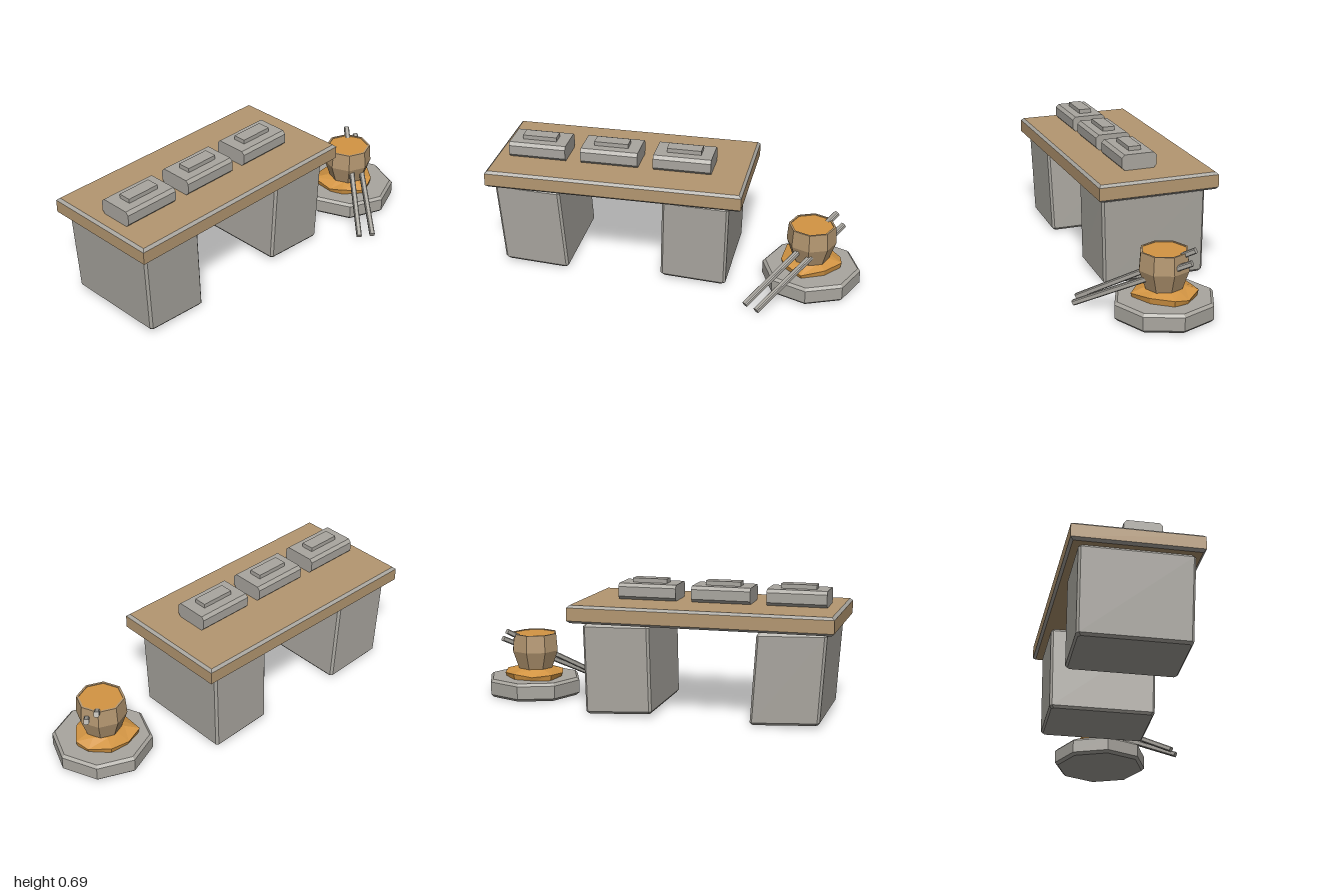
import * as THREE from 'three';

const mat = (name, color, extra = {}) =>
  Object.assign(new THREE.MeshStandardMaterial({ color, flatShading: true, ...extra }), { name });

// Faceted loft through horizontal loops (bottom to top), counter-clockwise from above
function loft(loops, capBottom = true, capTop = true) {
  const pos = [];
  const tri = (...p) => p.forEach((v) => pos.push(...v));
  for (let k = 0; k + 1 < loops.length; k++) {
    const lo = loops[k], up = loops[k + 1], n = lo.length;
    for (let i = 0; i < n; i++) {
      const j = (i + 1) % n;
      tri(lo[i], lo[j], up[j]);
      tri(lo[i], up[j], up[i]);
    }
  }
  const first = loops[0], last = loops[loops.length - 1];
  for (let i = 1; i + 1 < first.length; i++) {
    if (capBottom) tri(first[0], first[i + 1], first[i]);
    if (capTop) tri(last[0], last[i], last[i + 1]);
  }
  const g = new THREE.BufferGeometry();
  g.setAttribute('position', new THREE.Float32BufferAttribute(pos, 3));
  g.computeVertexNormals();
  return g;
}

const rect = (x0, x1, z0, z1, y) => [[x1, y, z1], [x1, y, z0], [x0, y, z0], [x0, y, z1]];

// Rectangle with cut corners
const cutRect = (x0, x1, z0, z1, y, c) => [
  [x1 - c, y, z1], [x1, y, z1 - c], [x1, y, z0 + c], [x1 - c, y, z0],
  [x0 + c, y, z0], [x0, y, z0 + c], [x0, y, z1 - c], [x0 + c, y, z1],
];

const octagon = (cx, cz, r, y) => Array.from({ length: 8 }, (_, i) => {
  const a = (i * Math.PI) / 4;
  return [cx + r * Math.cos(a), y, cz - r * Math.sin(a)];
});

export function createModel() {
  const stone = mat('stone', 0xa9a69f);
  const wood = mat('wood', 0xb49771);
  const orange = mat('orange', 0xd39543);
  const model = new THREE.Group();
  const add = (name, geometry, material, parent = model) => {
    const m = new THREE.Mesh(geometry, material);
    m.name = name;
    parent.add(m);
    return m;
  };

  // Table top: wooden slab with stone-coloured bevels
  const top = new THREE.Group();
  top.name = 'tableTop';
  model.add(top);
  const slab = (y, d) => rect(-1 + d, 0.38 - d, -0.43 + d, 0.23 - d, y);
  const low = slab(0.484, 0.014), lowEdge = slab(0.497, 0), highEdge = slab(0.565, 0), high = slab(0.578, 0.014);
  add('slabSides', loft([lowEdge, highEdge], false, false), wood, top);
  add('slabTop', loft([high], false, true), wood, top);
  add('slabUnderside', loft([low], true, false), wood, top);
  add('lowerBevel', loft([low, lowEdge], false, false), stone, top);
  add('upperBevel', loft([highEdge, high], false, false), stone, top);

  // Rough stone legs, leaning slightly, with tilted ends
  const leg = (name, bottomX, topX, frontBottom, frontTop, tiltBottom, tiltTop) => {
    const w = 0.355;
    const ring = (y, t, d, tilt) => {
      const x0 = THREE.MathUtils.lerp(bottomX, topX, t);
      const z1 = THREE.MathUtils.lerp(frontBottom, frontTop, t);
      return cutRect(x0 + d, x0 + w - d, -0.385 + d, z1 - d, y, 0.012)
        .map(([x, yy, z]) => [x, yy + (tilt * (x - x0 - w / 2)) / w, z]);
    };
    add(name, loft([
      ring(0.011, 0, 0.01, tiltBottom), ring(0.024, 0.03, 0, tiltBottom),
      ring(0.466, 0.97, 0, tiltTop), ring(0.482, 1, 0.012, tiltTop),
    ]), stone);
  };
  leg('rightLeg', -0.93, -0.96, 0.175, 0.19, -0.02, -0.012);
  leg('leftLeg', -0.06, -0.045, 0.175, 0.19, -0.02, -0.008);

  // Three stone blocks with a small raised plate on each
  for (let i = 0; i < 3; i++) {
    const x = -0.765 + i * 0.397;
    const block = (y, d) => rect(x - 0.156, x + 0.156, -0.16 + d, 0.035 - d, y);
    add('block', loft([block(0.578, 0.016), block(0.595, 0), block(0.646, 0), block(0.663, 0.016)]), stone);
    const plate = add('blockPlate', new THREE.BoxGeometry(0.186, 0.024, 0.07), stone);
    plate.position.set(x, 0.674, -0.062);
  }

  // Octagonal stone base
  const cx = 0.737, cz = 0.02;
  add('base', loft([
    octagon(cx, cz, 0.247, 0), octagon(cx, cz, 0.263, 0.015),
    octagon(cx, cz, 0.263, 0.085), octagon(cx, cz, 0.248, 0.099),
  ]), stone);

  // Irregular orange mound under the bowl
  const outline = [
    [0.9, 0.03], [0.885, -0.05], [0.8, -0.138], [0.69, -0.143], [0.59, -0.11],
    [0.575, 0.03], [0.6, 0.1], [0.7, 0.185], [0.82, 0.13],
  ];
  const mound = (s, y, wobble) => outline.map(([x, z], i) =>
    [cx + (x - cx) * s, y + (i % 2 ? -wobble : wobble), cz + (z - cz) * s]);
  add('mound', loft([mound(0.95, 0.095, 0), mound(1, 0.124, 0.006), mound(0.6, 0.147, 0)]), orange);

  // Faceted bowl with a thin rim and filled to the top
  const bx = 0.732;
  add('bowl', loft([
    octagon(bx, cz, 0.097, 0.143), octagon(bx, cz, 0.133, 0.245),
    octagon(bx, cz, 0.125, 0.34), octagon(bx, cz, 0.114, 0.34), octagon(bx, cz, 0.114, 0.334),
  ], true, false), wood);
  add('bowlFilling', loft([octagon(bx, cz, 0.114, 0.336)], false, true), orange);

  // Two sticks passing through the bowl
  const sticks = [
    [[0.435, 0.025, 0.375], [0.85, 0.36, -0.095]],
    [[0.5, 0.022, 0.415], [0.89, 0.312, -0.06]],
  ];
  for (const [a, b] of sticks) {
    const from = new THREE.Vector3(...a), to = new THREE.Vector3(...b);
    const stick = add('stick', loft([
      cutRect(-0.014, 0.014, -0.014, 0.014, -from.distanceTo(to) / 2, 0.005),
      cutRect(-0.014, 0.014, -0.014, 0.014, from.distanceTo(to) / 2, 0.005),
    ]), stone);
    stick.position.copy(from).lerp(to, 0.5);
    stick.lookAt(to);
    stick.rotateX(Math.PI / 2);
  }
  return model;
}
